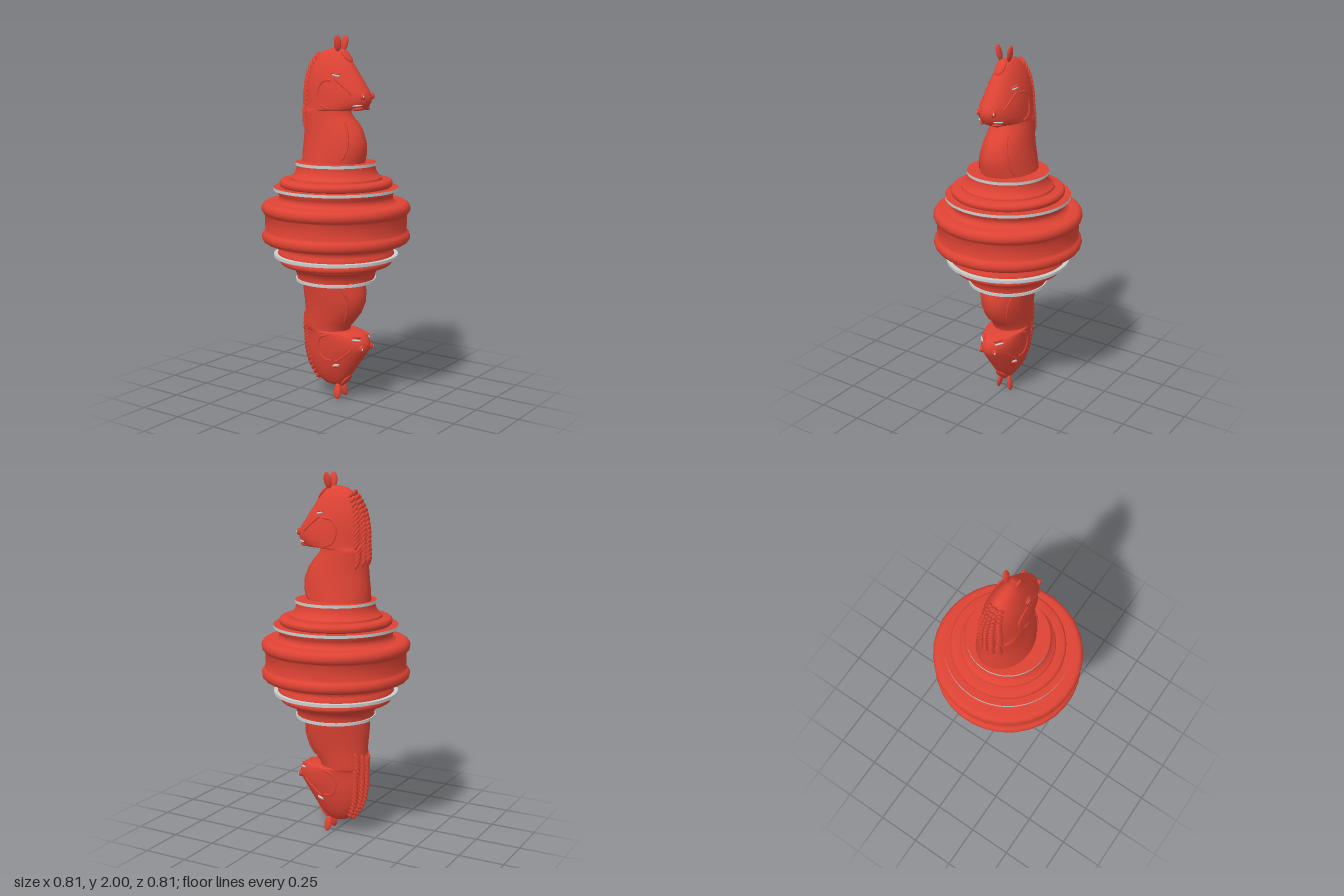
import * as THREE from 'three';
import { toCreasedNormals } from 'three/addons/utils/BufferGeometryUtils.js';

const red = new THREE.MeshStandardMaterial({ color: 0xde4334 });
red.name = 'red';
const silver = new THREE.MeshStandardMaterial({ color: 0xc9cdcd });
silver.name = 'silver';

// Horse cross-sections: height above the middle, back x, front x, half width
const SECTIONS = [
  [0.32, -0.2, 0.165, 0.145], [0.38, -0.2, 0.182, 0.135], [0.44, -0.195, 0.18, 0.125],
  [0.5, -0.19, 0.155, 0.115], [0.55, -0.19, 0.115, 0.109], [0.585, -0.19, 0.085, 0.105],
  [0.603, -0.19, 0.08, 0.104], [0.608, -0.19, 0.17, 0.108], [0.62, -0.19, 0.197, 0.108],
  [0.65, -0.19, 0.215, 0.106], [0.68, -0.19, 0.22, 0.104], [0.71, -0.188, 0.205, 0.101],
  [0.76, -0.18, 0.17, 0.093], [0.81, -0.165, 0.135, 0.081], [0.86, -0.138, 0.1, 0.064],
  [0.895, -0.11, 0.072, 0.046], [0.92, -0.07, 0.045, 0.028], [0.93, -0.03, 0.015, 0.008],
];

function sectionAt(h) {
  let i = 0;
  while (i < SECTIONS.length - 2 && SECTIONS[i + 1][0] < h) i++;
  const a = SECTIONS[i], b = SECTIONS[i + 1];
  const t = THREE.MathUtils.clamp((h - a[0]) / (b[0] - a[0]), 0, 1);
  return a.map((v, k) => v + (b[k] - v) * t);
}

// Point on the horse's skin at a height and an angle around the section
function ringPoint(s, angle) {
  const mid = (s[1] + s[2]) / 2, half = (s[2] - s[1]) / 2;
  return new THREE.Vector3(mid + half * Math.cos(angle), s[0], s[3] * Math.sin(angle));
}

// Point on the skin at a given x and height, on one side
function skin(x, h, side) {
  const s = sectionAt(h);
  const u = (x - (s[1] + s[2]) / 2) / ((s[2] - s[1]) / 2);
  return new THREE.Vector3(x, h, side * s[3] * Math.sqrt(Math.max(0, 1 - u * u)));
}

function add(parent, name, geometry, material) {
  const mesh = new THREE.Mesh(geometry, material);
  mesh.name = name;
  parent.add(mesh);
  return mesh;
}

function ellipsoid(parent, name, material, p, r, rot = [0, 0, 0]) {
  const mesh = add(parent, name, new THREE.SphereGeometry(1, 14, 10), material);
  mesh.position.copy(p);
  mesh.scale.set(...r);
  mesh.rotation.set(...rot);
  return mesh;
}

function horseBody() {
  const n = 48, pos = [], index = [];
  for (const s of SECTIONS) {
    for (let j = 0; j < n; j++) pos.push(...ringPoint(s, (j / n) * Math.PI * 2).toArray());
  }
  for (let i = 0; i < SECTIONS.length - 1; i++) {
    for (let j = 0; j < n; j++) {
      const a = i * n + j, b = i * n + (j + 1) % n;
      index.push(a, a + n, b, b, a + n, b + n);
    }
  }
  // Closing cap on the crown
  const top = (SECTIONS.length - 1) * n;
  pos.push(-0.007, 0.931, 0);
  for (let j = 0; j < n; j++) index.push(top + j, top + n, top + (j + 1) % n);
  const g = new THREE.BufferGeometry();
  g.setAttribute('position', new THREE.Float32BufferAttribute(pos, 3));
  g.setIndex(index);
  return toCreasedNormals(g, 0.8);
}

function horse() {
  const g = new THREE.Group();
  g.name = 'horse';
  add(g, 'headAndNeck', horseBody(), red);
  ellipsoid(g, 'forelock', red, new THREE.Vector3(0.07, 0.892, 0), [0.05, 0.012, 0.03], [0, 0, -0.85]);

  // Mane: rows of overlapping locks down the back of the neck
  const rows = 16;
  for (let i = 0; i < rows; i++) {
    const t = i / (rows - 1), h = 0.545 + 0.35 * t;
    for (let k = -2; k <= 2; k++) {
      const p = ringPoint(sectionAt(h - Math.abs(k) * 0.006), Math.PI + k * 0.3);
      ellipsoid(g, 'maneLock', red, p, [0.011, 0.032 - 0.011 * t, 0.011],
        [0, k * 0.3, 0.4 + 0.15 * t]);
    }
  }

  // Raised contour lines: cheek, face and chest
  const lines = {
    cheekLine: [[0.03, 0.765], [-0.02, 0.757], [-0.048, 0.72], [-0.05, 0.675], [-0.03, 0.635], [0.02, 0.616]],
    faceLine: [[0.05, 0.772], [0.1, 0.735], [0.152, 0.692]],
    chestLine: [[0.095, 0.545], [0.122, 0.49], [0.133, 0.43], [0.125, 0.38], [0.1, 0.34]],
  };
  for (const side of [1, -1]) {
    for (const [name, pts] of Object.entries(lines)) {
      const flat = new THREE.CatmullRomCurve3(pts.map(([x, h]) => new THREE.Vector3(x, h, 0)));
      const curve = new THREE.CatmullRomCurve3(flat.getPoints(20).map(p => skin(p.x, p.y, side)));
      add(g, name, new THREE.TubeGeometry(curve, 40, 0.006, 6), red);
    }
    ellipsoid(g, 'ear', red, new THREE.Vector3(0.032, 0.957, side * 0.033), [0.022, 0.044, 0.012], [side * 0.2, 0, -0.1]);
    ellipsoid(g, 'eye', silver, skin(0.055, 0.789, side), [0.022, 0.007, 0.008], [0, side * 0.3, -0.2]);
    ellipsoid(g, 'eyelid', red, skin(0.053, 0.798, side), [0.026, 0.006, 0.01], [0, side * 0.3, -0.2]);
    ellipsoid(g, 'nostril', red, skin(0.2, 0.682, side), [0.016, 0.019, 0.014]);
    ellipsoid(g, 'nostrilCentre', silver, skin(0.203, 0.682, side).add(new THREE.Vector3(0.006, 0, side * 0.011)), [0.006, 0.008, 0.004]);
    ellipsoid(g, 'mouth', silver, skin(0.175, 0.634, side), [0.027, 0.005, 0.007], [0, side * 0.7, 0.1]);
    ellipsoid(g, 'lip', red, skin(0.17, 0.617, side), [0.03, 0.01, 0.01], [0, side * 0.6, 0.1]);
  }
  return g;
}

// Profile points on an elliptical arc, angles in degrees
function arc(cx, cy, rx, ry, from, to, n = 8) {
  return Array.from({ length: n + 1 }, (_, i) => {
    const a = THREE.MathUtils.degToRad(from + (to - from) * i / n);
    return [cx + rx * Math.cos(a), cy + ry * Math.sin(a)];
  });
}

function lathe(profile, segments) {
  const g = new THREE.LatheGeometry(profile.map(p => new THREE.Vector2(...p)), segments, Math.PI / segments);
  return toCreasedNormals(g, 0.6);
}

function baseHalf() {
  const g = new THREE.Group();
  g.name = 'base';
  // Wide drum with a rounded rim
  add(g, 'drum', lathe([[0.386, 0], [0.386, 0.042], ...arc(0.375, 0.077, 0.03, 0.034, -65, 90), [0.3, 0.112]], 32), red);
  // Waist below the lower band
  add(g, 'waist', lathe([[0.33, 0.111], ...arc(0.34, 0.14, 0.032, 0.03, 250, 140, 6), [0.318, 0.174]], 64), red);
  // Rounded step and hollow collar
  add(g, 'collar', lathe([[0.298, 0.19], ...arc(0.29, 0.212, 0.017, 0.021, -70, 90), [0.252, 0.234],
    ...arc(0.285, 0.31, 0.072, 0.075, 240, 180), [0.213, 0.312]], 64), red);
  // Thin bands: silver edge and underside, red upper face
  for (const [r, y] of [[0.34, 0.183], [0.22, 0.318]]) {
    const band = add(g, 'band', new THREE.CylinderGeometry(r, r, 0.016, 64), [silver, red, silver]);
    band.position.y = y;
  }
  return g;
}

export function createModel() {
  const model = new THREE.Group();
  model.name = 'doubleKnight';
  // Upper half, and the same half turned upside down
  for (const turn of [0, Math.PI]) {
    const half = new THREE.Group();
    half.name = turn ? 'lowerHalf' : 'upperHalf';
    half.add(baseHalf(), horse());
    half.rotation.x = turn;
    half.position.y = 1;
    model.add(half);
  }
  return model;
}
